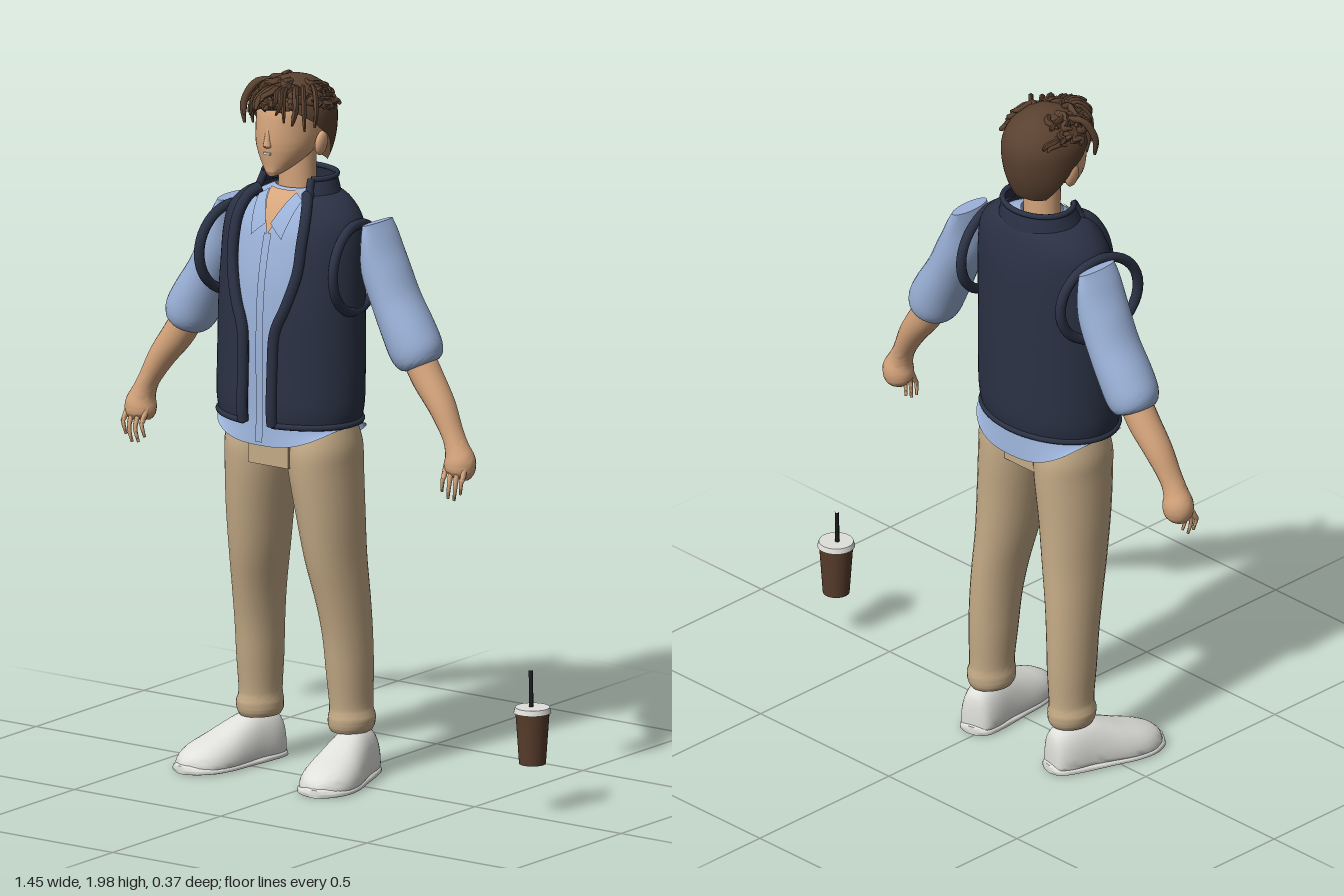
import * as THREE from 'three';
import { toCreasedNormals } from 'three/addons/utils/BufferGeometryUtils.js';

const mat = (name, color, side = THREE.FrontSide) =>
  Object.assign(new THREE.MeshStandardMaterial({ color, side }), { name });
const skin = mat('skin', 0xd6a57c), hairBrown = mat('hair brown', 0x5a4130, THREE.DoubleSide);
const navy = mat('vest navy', 0x2b3245, THREE.DoubleSide), blue = mat('shirt blue', 0x9cb3da, THREE.DoubleSide);
const khaki = mat('trouser khaki', 0xc5ab87), white = mat('shoe white', 0xe0e0dc);
const brown = mat('cup brown', 0x583d2c), black = mat('straw black', 0x1e1e22), pale = mat('teeth', 0xf0e8e2);

const V = (x, y, z) => new THREE.Vector3(x, y, z);
const TAU = Math.PI * 2;

// Catmull-Rom interpolation through rows of numbers
function sample(rows, t) {
  const n = rows.length - 1, f = Math.min(t, 0.99999) * n, i = Math.floor(f), k = f - i;
  const at = j => rows[Math.max(0, Math.min(n, j))];
  return rows[i].map((b, c) => {
    const a = at(i - 1)[c], d = at(i + 1)[c], e = at(i + 2)[c];
    return b + 0.5 * k * (d - a + k * (2 * a - 5 * b + 4 * d - e + k * (3 * (b - d) + e - a)));
  });
}
// Row at a given height, for rows whose first number is y
function atY(rows, y) {
  let lo = 0, hi = 1;
  for (let i = 0; i < 24; i++) {
    const m = (lo + hi) / 2;
    if (sample(rows, m)[0] < y) lo = m; else hi = m;
  }
  return sample(rows, lo);
}
// Grid surface from a point rule; wrap closes u, caps close the v ends
function surface(P, nu, nv, wrap = true, caps = wrap) {
  const pos = [], idx = [], w = wrap ? nu : nu + 1;
  for (let j = 0; j <= nv; j++) for (let i = 0; i < w; i++) pos.push(...P(i / nu, j / nv));
  for (let j = 0; j < nv; j++) for (let i = 0; i < nu; i++) {
    const a = j * w + i, b = j * w + (i + 1) % w;
    idx.push(a, b, b + w, a, b + w, a + w);
  }
  if (caps) for (const j of [0, nv]) {
    const c = V(0, 0, 0), id = pos.length / 3;
    for (let i = 0; i < w; i++) c.add(V(...pos.slice((j * w + i) * 3, (j * w + i) * 3 + 3)));
    pos.push(...c.divideScalar(w).toArray());
    for (let i = 0; i < w; i++) {
      const a = j * w + i, b = j * w + (i + 1) % w;
      if (j) idx.push(a, b, id); else idx.push(b, a, id);
    }
  }
  const g = new THREE.BufferGeometry();
  g.setAttribute('position', new THREE.Float32BufferAttribute(pos, 3));
  g.setIndex(idx);
  g.computeVertexNormals();
  return caps ? toCreasedNormals(g, 0.9) : g;
}
// Upright loft, rows [y, rx, cz, rz, cx]
const column = (rows, nv = 24, nu = 28) => surface((u, v) => {
  const [y, rx, cz, rz, cx = 0] = sample(rows, v);
  return [cx + rx * Math.sin(u * TAU), y, cz + rz * Math.cos(u * TAU)];
}, nu, nv);
// Limb loft across its own path, rows [x, y, z, depth radius, width radius]
const limb = (rows, s, nv = 20, nu = 20) => surface((u, v) => {
  const c = t => { const r = sample(rows, t); return V(r[0] * s, r[1], r[2]); };
  const r = sample(rows, v), T = c(Math.min(1, v + 0.02)).sub(c(Math.max(0, v - 0.02))).normalize();
  const e1 = V(0, 0, 1).addScaledVector(T, -T.z).normalize(), e2 = T.clone().cross(e1);
  return c(v).addScaledVector(e1, r[3] * Math.cos(u * TAU)).addScaledVector(e2, r[4] * Math.sin(u * TAU)).toArray();
}, nu, nv);
const tube = (pts, r, n = 40) => new THREE.TubeGeometry(new THREE.CatmullRomCurve3(pts), n, r, 8);
const signPow = (t, p) => Math.sign(t) * Math.abs(t) ** p;

// Rows: y, rx, cz, rz, half opening
const vestRows = [[1.02, .216, -.013, .156, .05], [1.07, .224, -.015, .162, .05], [1.17, .225, -.018, .161, .05],
  [1.28, .224, -.02, .16, .055], [1.36, .223, -.022, .158, .085], [1.45, .221, -.027, .153, .11],
  [1.53, .218, -.032, .146, .115], [1.59, .206, -.038, .132, .113], [1.635, .163, -.045, .114, .1], [1.655, .112, -.05, .096, .08]];
const collarRows = [[1.63, .13, -.05, .108, .098], [1.665, .118, -.055, .098, .085], [1.695, .108, -.06, .087, .08]];
const shirtRows = [[.965, .211, -.02, .15], [1.05, .208, -.02, .145], [1.25, .208, -.02, .147], [1.4, .207, -.024, .143],
  [1.52, .2, -.034, .13], [1.58, .178, -.04, .115], [1.63, .13, -.045, .09], [1.665, .062, -.045, .055]];
const openWrap = rows => (u, v) => {
  const [y, rx, cz, rz, w] = sample(rows, v), a0 = Math.asin(w / rx), a = a0 + u * (TAU - 2 * a0);
  return [rx * Math.sin(a), y, cz + rz * Math.cos(a)];
};
// Four-cornered panel laid on the shirt front: low left, low right, high left, high right
const patch = (c, off) => surface((u, v) => {
  const m = k => (c[0][k] * (1 - u) + c[1][k] * u) * (1 - v) + (c[2][k] * (1 - u) + c[3][k] * u) * v;
  const x = m(0), y = m(1), [, rx, cz, rz] = atY(shirtRows, y);
  return [x, y, cz + rz * Math.sqrt(Math.max(0, 1 - (x / rx) ** 2)) + off];
}, 6, 16, false);

export function createModel() {
  const root = new THREE.Group(), man = new THREE.Group();
  man.name = 'figure';
  man.position.x = -.14;
  root.add(man);
  const add = (name, geo, m, parent = man) => {
    const o = new THREE.Mesh(geo, m);
    o.name = name;
    parent.add(o);
    return o;
  };

  // Shirt with curved tails
  add('shirt', surface((u, v) => {
    const [y, rx, cz, rz] = sample(shirtRows, v), a = u * TAU, k = Math.max(0, 1 - v * 9), c = Math.cos(a), p = 1 - .25 * k;
    const tail = .05 - (c > 0 ? .06 : .078) * c * c;
    return [rx * signPow(Math.sin(a), p), y + k * tail, cz + rz * signPow(c, p)];
  }, 64, 56, true, false), blue);
  add('shirtPlacket', patch([[-.012, .966], [.012, .966], [-.012, 1.55], [.012, 1.55]], .005), blue);
  add('openNeck', patch([[-.002, 1.55], [.002, 1.55], [-.05, 1.66], [.05, 1.66]], .006), skin);
  for (const s of [1, -1]) {
    const c = [[.008, 1.578], [.052, 1.54], [.046, 1.658], [.074, 1.64]].map(p => [p[0] * s, p[1]]);
    add('shirtCollar', patch(s > 0 ? c : [c[1], c[0], c[3], c[2]], .014), blue);
  }

  // Vest with padded edges and stand collar
  const vest = openWrap(vestRows), collar = openWrap(collarRows), line = n => [...Array(n + 1)].map((_, i) => i / n);
  add('vest', surface(vest, 56, 48, false), navy);
  add('vestHem', tube(line(40).map(u => V(...vest(u, 0))), .009, 90), navy);
  add('vestCollar', surface(collar, 40, 8, false), navy);
  add('collarRim', tube(line(30).map(u => V(...collar(u, 1))), .008, 60), navy);
  for (const u of [0, 1]) {
    add('vestEdge', tube(line(24).map(v => V(...vest(u, v))), .016, 60), navy);
    add('collarEdge', tube(line(4).map(v => V(...collar(u, v))), .011, 12), navy);
  }

  // Trouser seat between the legs
  const seat = add('trouserSeat', new THREE.BoxGeometry(.135, .14, .225), khaki);
  seat.position.set(0, .96, -.022);

  for (const s of [1, -1]) {
    const side = s > 0 ? 'left' : 'right';
    add(side + 'TrouserLeg', column([[.13, .054, -.085, .064, .156], [.145, .061, -.085, .071, .156], [.17, .062, -.085, .073, .157],
      [.2, .056, -.085, .069, .155], [.3, .06, -.081, .077, .153], [.4, .062, -.075, .083, .15], [.5, .066, -.064, .092, .143],
      [.62, .075, -.048, .104, .13], [.75, .085, -.037, .114, .12], [.88, .094, -.031, .123, .108], [.95, .096, -.03, .12, .105],
      [1.02, .085, -.03, .095, .1]].map(r => [...r.slice(0, 4), r[4] * s]), 48), khaki);

    // Armhole binding and sleeve
    const ring = add(side + 'Armhole', new THREE.TorusGeometry(.122, .014, 10, 40), navy);
    ring.position.set(.211 * s, 1.458, -.033);
    ring.rotation.y = Math.PI / 2 + .13 * s;
    ring.scale.set(1.1, 1, 1);
    add(side + 'Sleeve', limb([[.248, 1.585, -.08, .066, .018], [.257, 1.54, -.08, .076, .036], [.275, 1.46, -.08, .08, .06],
      [.314, 1.37, -.08, .079, .065], [.358, 1.29, -.078, .079, .073], [.385, 1.24, -.077, .076, .074],
      [.4, 1.212, -.076, .066, .062], [.405, 1.202, -.076, .05, .046]], s, 32, 28), blue);

    // Forearm, hand and fingers
    add(side + 'Forearm', limb([[.385, 1.235, -.075, .045, .045], [.425, 1.17, -.073, .045, .045], [.477, 1.1, -.068, .041, .038],
      [.517, 1.03, -.062, .034, .03], [.535, .99, -.06, .035, .034], [.545, .955, -.06, .042, .045],
      [.545, .925, -.058, .039, .042], [.543, .908, -.055, .025, .028]], s, 32), skin);
    for (let i = 0; i < 4; i++) {
      const x = .512 + i * .021, drop = [.02, .003, 0, .02][i];
      add(side + 'Finger', limb([[x, .95, -.045, .009, .008], [x + .003, .915, -.027, .008, .007],
        [x + .003, .885 + drop, -.021, .006, .006], [x - .004, .85 + drop, -.026, .004, .004]], s, 10, 8), skin);
    }

    // Shoe, turned slightly outward
    const shoe = new THREE.Group();
    shoe.name = side + 'Shoe';
    shoe.position.set(.183 * s, 0, -.02);
    shoe.rotation.y = .22 * s;
    man.add(shoe);
    const form = (rows, pow) => surface((u, v) => {
      const [z, w, h] = sample(rows, v), c = Math.cos(u * TAU), q = Math.sin(u * TAU);
      return [w * signPow(c, pow), h * (q < 0 ? .22 + .22 * signPow(q, pow) : .22 + .78 * q), z];
    }, 32, 24);
    add('shoeUpper', form([[-.148, .02, .07], [-.138, .044, .115], [-.1, .058, .135], [-.04, .064, .138], [.02, .073, .118],
      [.08, .081, .094], [.14, .077, .073], [.185, .052, .052], [.205, .015, .03]], .75), white, shoe);
    add('shoeSole', form([[-.155, .02, .024], [-.14, .047, .026], [-.09, .062, .026], [.02, .076, .026], [.09, .085, .026],
      [.15, .079, .026], [.195, .052, .026], [.212, .015, .022]], .6), white, shoe);

    // Ear
    const ear = add(side + 'Ear', new THREE.SphereGeometry(1, 16, 12), skin);
    ear.scale.set(.014, .036, .023);
    ear.position.set(.097 * s, 1.797, -.025);
    ear.rotation.z = -.15 * s;
  }

  // Neck, head and face
  add('neck', column([[1.56, .06, -.045, .05], [1.64, .056, -.045, .048], [1.7, .055, -.045, .048], [1.79, .057, -.045, .05]], 12), skin);
  add('head', column([[1.708, .008, .068, .012], [1.716, .022, .06, .026], [1.735, .044, .038, .05], [1.765, .07, .012, .08],
    [1.8, .085, -.004, .1], [1.85, .09, -.018, .112], [1.9, .09, -.026, .111], [1.935, .07, -.032, .09],
    [1.953, .036, -.035, .05]], 32), skin);
  add('nose', column([[1.79, .005, .09, .004], [1.797, .013, .092, .014], [1.81, .011, .09, .014],
    [1.84, .008, .086, .01], [1.87, .006, .08, .006]], 14, 14), skin);
  const mouth = add('teeth', new THREE.BoxGeometry(.022, .006, .008), pale);
  mouth.position.set(0, 1.776, .0935);

  // Hair cap: short at the brow, long at the nape
  const hairAt = (a, q, k = 1) => {
    const r = Math.sqrt(Math.max(0, 1 - q * q)) * k;
    return [.113 * r * Math.sin(a), 1.865 + (q > 0 ? .112 : .2) * q * (q > 0 ? k : 1), -.032 + .132 * r * Math.cos(a)];
  };
  add('hairCap', surface((u, v) => {
    const a = u * TAU, c = Math.cos(a);
    const hem = c > 0 ? -.2 + .7 * c ** 1.3 : -.2 - .47 * Math.min(1, -c * 1.6);
    const q = Math.sin(THREE.MathUtils.lerp(Math.asin(hem), Math.PI / 2, v));
    return hairAt(a, q, 1 + .012 * Math.sin(9 * a + 8 * v) * (1 - v));
  }, 64, 24, true, false), hairBrown);

  // Tapered curls
  let seed = 7;
  const rnd = (a, b) => a + (b - a) * ((seed = (seed * 16807) % 2147483647) / 2147483647);
  const curl = (name, pts, r) => {
    const path = new THREE.CatmullRomCurve3(pts), g = new THREE.TubeGeometry(path, 12, r, 6), p = g.attributes.position;
    for (let i = 0; i < p.count; i++) {
      const t = Math.floor(i / 7) / 12, c = path.getPointAt(t), q = V(0, 0, 0).fromBufferAttribute(p, i);
      q.sub(c).multiplyScalar(.15 + .85 * Math.sqrt(Math.sin(Math.PI * (.12 + .86 * t)))).add(c);
      p.setXYZ(i, q.x, q.y, q.z);
    }
    g.computeVertexNormals();
    add(name, g, hairBrown);
  };
  for (let i = 0; i < 60; i++) {
    const a = rnd(-2, 2), q = rnd(.45, .99), d = rnd(-.4, .4), w = rnd(.1, .3) * (i % 2 ? 1 : -1), lift = rnd(1.04, 1.13);
    curl('curl', [0, 1, 2, 3].map(k => V(...hairAt(a + d * k / 3 + w * Math.sin(k * 2), q - .08 * k, [.97, 1.02, 1.04, lift][k]))), rnd(.007, .012));
  }
  // Fringe swept off the middle of the brow and hanging at the temples
  for (let i = 0; i < 18; i++) {
    const x = -.112 + .224 * i / 17 + rnd(-.008, .008), e = Math.min(1, Math.abs(x - .015) / .09);
    const z = .112 - .075 * e * e, end = 1.925 - .075 * e + rnd(-.015, .015), out = x < .015 ? -.012 : .012;
    curl('fringe', [V(x * .6, 1.957, z - .055), V(x * .9, 1.95, z - .02), V(x + out, (1.95 + end) / 2, z + .006),
      V(x * 1.04 + out + rnd(-.016, .016), end, z + rnd(0, .026))], rnd(.007, .011));
  }

  // Drink cup with lid and straw
  const cup = new THREE.Group();
  cup.name = 'drinkCup';
  cup.position.set(.666, 0, -.042);
  root.add(cup);
  add('cupBody', new THREE.CylinderGeometry(.047, .037, .145, 32), brown, cup).position.y = .2125;
  add('cupLid', new THREE.CylinderGeometry(.048, .052, .015, 32), white, cup).position.y = .2925;
  add('straw', tube([V(.001, .2, .008), V(-.006, .32, -.002), V(-.013, .4, -.01)], .006, 12), black, cup);
  return root;
}
